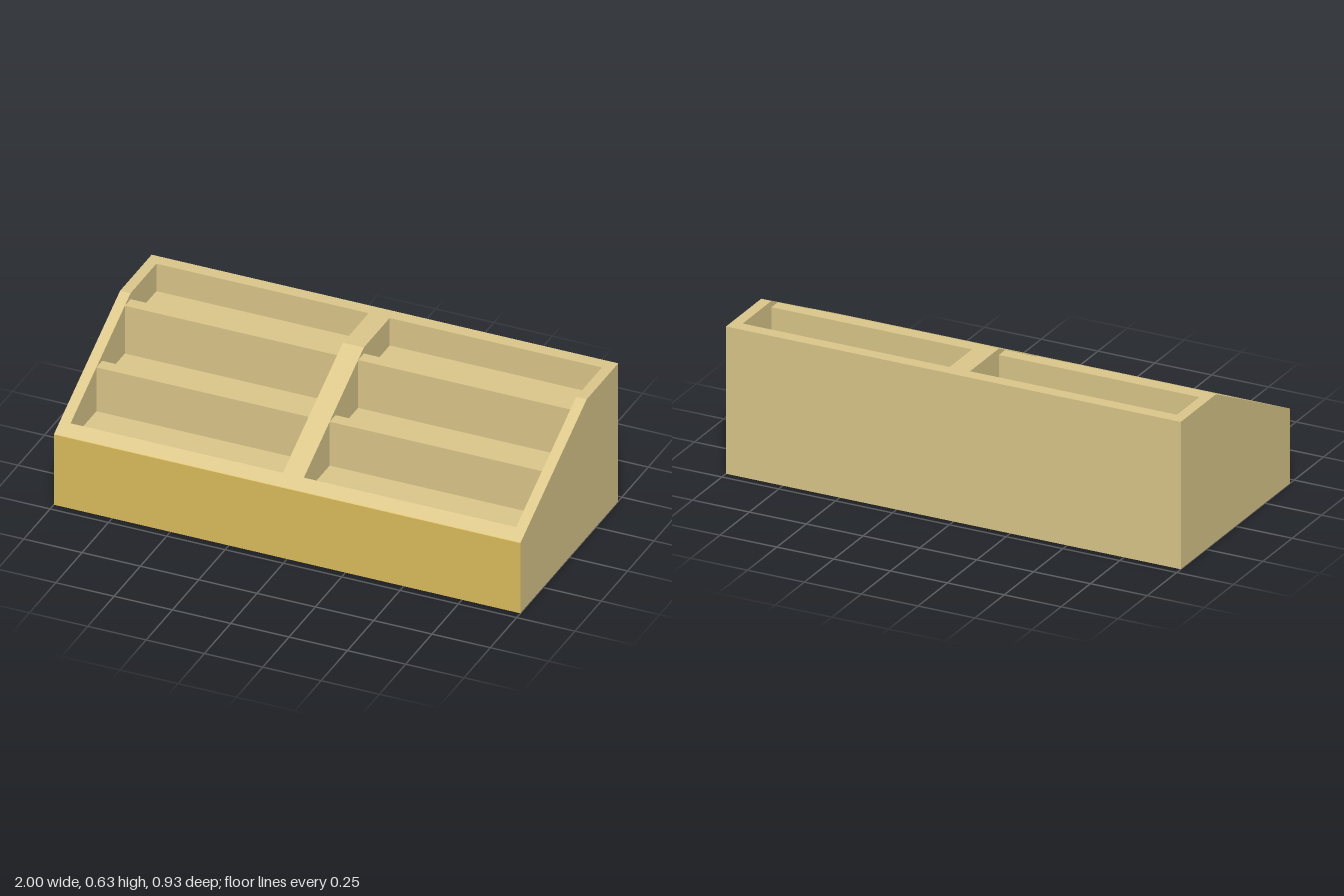
import * as THREE from 'three';

const wood = new THREE.MeshStandardMaterial({ color: 0xdcc88b, flatShading: true });
const gold = new THREE.MeshStandardMaterial({ color: 0xdcbe5e, flatShading: true });

const FRONT = 0.465, BACK = -0.465, RIDGE = -0.165;
const LOW = 0.32, HIGH = 0.63;
const SKIN = 0.003; // thickness of the coloured front panel
const slopeY = (z) => LOW + ((FRONT - z) / (FRONT - RIDGE)) * (HIGH - LOW);

// Extrude a (z, y) profile along x from x0 to x1
function extrudeX(name, profile, x0, x1, material) {
  const shape = new THREE.Shape(profile.map(([z, y]) => new THREE.Vector2(-z, y)));
  const geo = new THREE.ExtrudeGeometry(shape, { depth: x1 - x0, bevelEnabled: false });
  geo.rotateY(Math.PI / 2).translate(x0, 0, 0);
  const mesh = new THREE.Mesh(geo, material);
  mesh.name = name;
  return mesh;
}

export function createModel() {
  const group = new THREE.Group();
  group.name = 'slopedTray';
  const front = FRONT - SKIN;

  // Sloped partitions: two outer sides and the middle one
  const side = [[front, 0], [front, slopeY(front)], [RIDGE, HIGH], [BACK, HIGH], [BACK, 0]];
  group.add(extrudeX('rightSide', side, -1, -0.955, wood));
  group.add(extrudeX('middlePartition', side, -0.045, 0.045, wood));
  group.add(extrudeX('leftSide', side, 0.955, 1, wood));

  // Bays: front lip, then three stepped compartments with flat-topped dividers
  const bay = [[front, 0], [front, slopeY(front)], [0.405, slopeY(0.405)]];
  const compartments = [
    { from: 0.405, to: 0.16, floor: 0.27, divider: slopeY(0.16) },
    { from: 0.105, to: -0.11, floor: 0.385, divider: slopeY(-0.11) },
    { from: RIDGE, to: -0.41, floor: 0.505, divider: HIGH },
  ];
  for (const c of compartments) {
    bay.push([c.from, c.floor], [c.to, c.floor], [c.to, c.divider]);
    const next = compartments[compartments.indexOf(c) + 1];
    bay.push([next ? next.from : BACK, c.divider]);
  }
  bay.push([BACK, 0]);
  group.add(extrudeX('rightBay', bay, -0.955, -0.045, wood));
  group.add(extrudeX('leftBay', bay, 0.045, 0.955, wood));

  // Coloured front panel
  const panel = [[FRONT, 0], [FRONT, LOW], [front, slopeY(front)], [front, 0]];
  group.add(extrudeX('frontPanel', panel, -1, 1, gold));

  return group;
}
